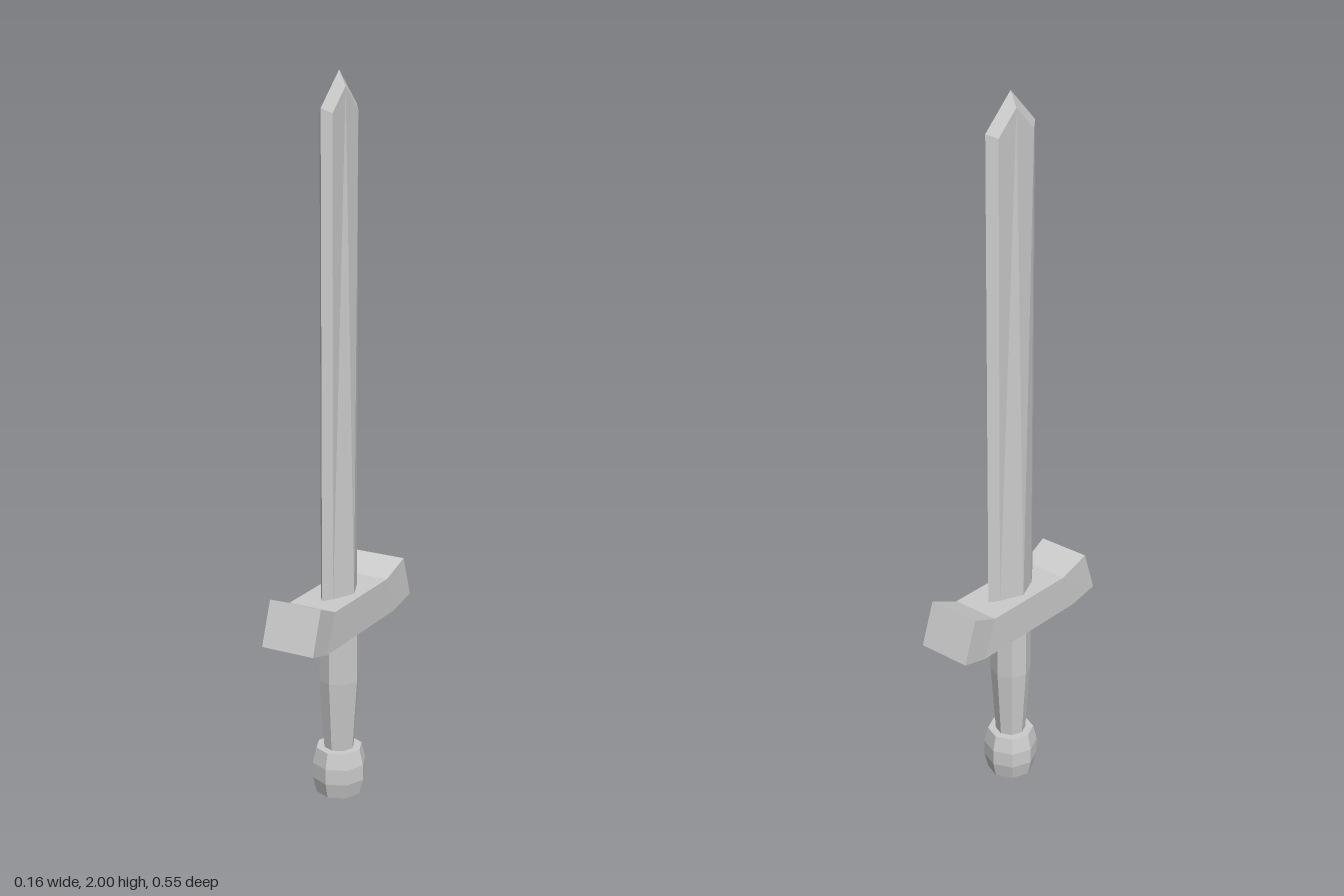
import * as THREE from 'three';

const material = new THREE.MeshStandardMaterial({ color: 0xcccccc, flatShading: true });

// Skins a list of equal-length point rings and caps both ends.
function loft(rings) {
  const pos = [];
  const tri = (...pts) => pts.forEach((p) => pos.push(...p));
  const n = rings[0].length;
  for (let i = 0; i < rings.length - 1; i++) {
    for (let j = 0; j < n; j++) {
      const k = (j + 1) % n;
      const [a, b, c, d] = [rings[i][j], rings[i][k], rings[i + 1][j], rings[i + 1][k]];
      tri(a, c, b);
      if (c.some((v, m) => v !== d[m])) tri(b, c, d);
    }
  }
  const first = rings[0];
  const last = rings[rings.length - 1];
  for (let j = 1; j < n - 1; j++) {
    tri(first[0], first[j], first[j + 1]);
    if (last[0] !== last[1]) tri(last[0], last[j + 1], last[j]);
  }
  const geo = new THREE.BufferGeometry();
  geo.setAttribute('position', new THREE.Float32BufferAttribute(pos, 3));
  geo.computeVertexNormals();
  return geo;
}

// Eight-sided blade section: central ridge, bevel line and cutting edge.
function bladeRing(ridgeX, ridgeY, bevelY, edgeY) {
  const b = 0.019, bz = 0.067, ez = 0.094;
  return [
    [ridgeX, ridgeY, 0], [b, bevelY, bz], [0, edgeY, ez], [-b, bevelY, bz],
    [-ridgeX, ridgeY, 0], [-b, bevelY, -bz], [0, edgeY, -ez], [b, bevelY, -bz],
  ];
}

// Crossguard section: top and bottom edges at their own z.
function guardRing(w, topZ, topY, lowZ, lowY) {
  return [[-w, lowY, lowZ], [-w, topY, topZ], [w, topY, topZ], [w, lowY, lowZ]];
}

// Eight-sided turned part from [radius, height] pairs.
function turned(profile) {
  return new THREE.LatheGeometry(profile.map(([r, y]) => new THREE.Vector2(r, y)), 8);
}

export function createModel() {
  const group = new THREE.Group();
  const add = (name, geometry) => {
    const mesh = new THREE.Mesh(geometry, material);
    mesh.name = name;
    group.add(mesh);
  };

  // Blade thins towards a bevelled point
  add('blade', loft([
    bladeRing(0.047, 0.59, 0.59, 0.59),
    bladeRing(0.019, 1.96, 1.896, 1.91),
    Array(8).fill([0, 2, 0]),
  ]));

  // Crossguard with upturned, flared ends
  add('crossguard', loft([
    guardRing(0.078, -0.235, 0.635, -0.277, 0.515),
    guardRing(0.071, -0.147, 0.598, -0.19, 0.49),
    guardRing(0.071, 0.147, 0.598, 0.19, 0.49),
    guardRing(0.078, 0.235, 0.635, 0.277, 0.515),
  ]));

  // Grip tapers down into the pommel
  add('grip', turned([[0, 0.12], [0.042, 0.12], [0.057, 0.34], [0.057, 0.5], [0, 0.5]]));

  // Faceted pommel
  add('pommel', turned([[0, 0], [0.066, 0], [0.077, 0.045], [0.077, 0.09], [0.066, 0.135], [0, 0.135]]));

  return group;
}
